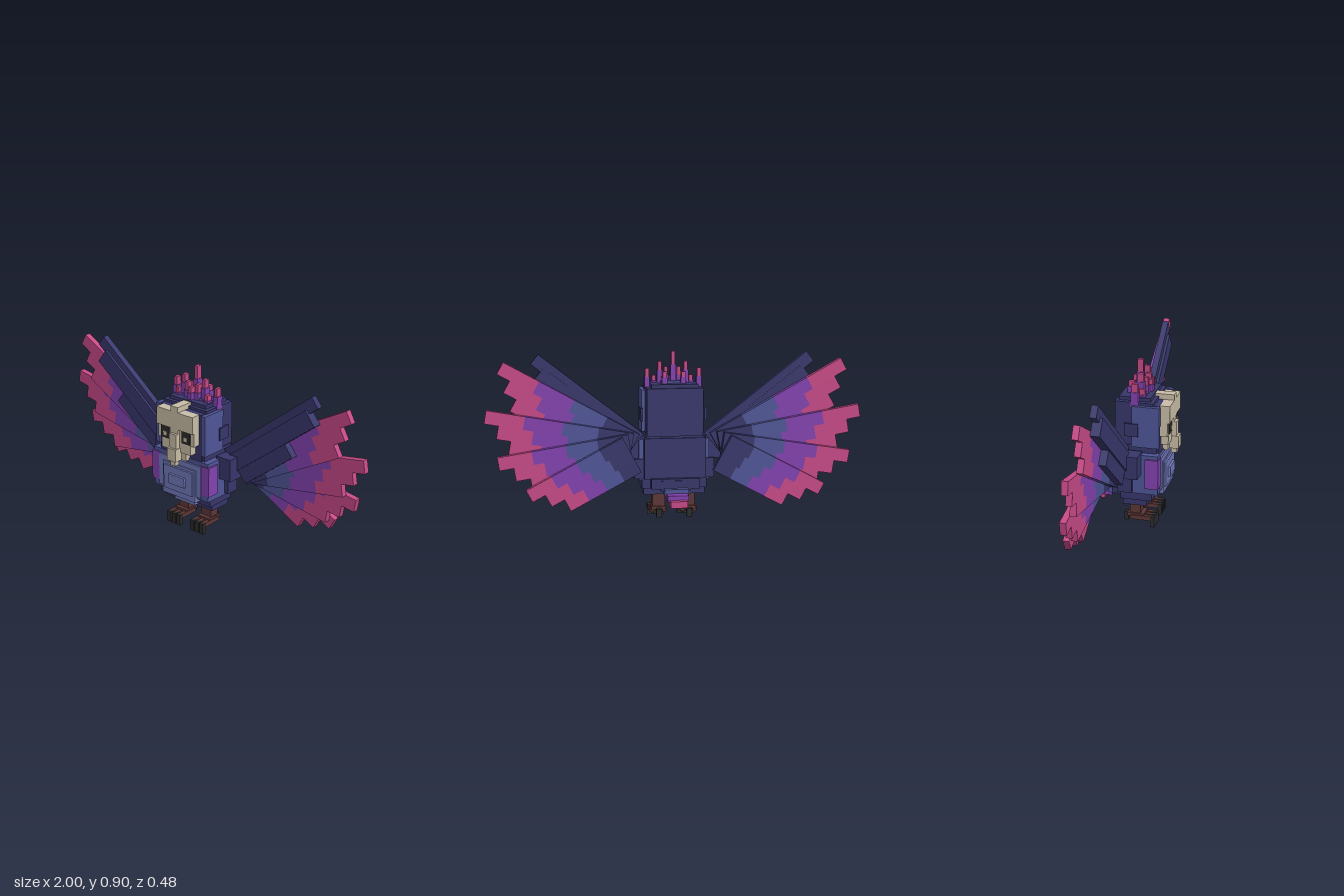
import * as THREE from 'three';

const paint = (name, color) => {
  const m = new THREE.MeshStandardMaterial({ color });
  m.name = name;
  return m;
};

export function createModel() {
  const navy = paint('navy', 0x38376c);
  const blue = paint('slate blue', 0x505698);
  const sky = paint('periwinkle', 0x727abd);
  const purple = paint('purple', 0x8442b0);
  const pink = paint('pink', 0xc84a88);
  const bone = paint('bone', 0xcabfa8);
  const brown = paint('brown', 0x5e3737);
  const black = paint('black', 0x2c2c2c);

  const model = new THREE.Group();
  model.name = 'owl';
  const group = (name) => {
    const g = new THREE.Group();
    g.name = name;
    model.add(g);
    return g;
  };
  // Box from its limits on each axis
  const box = (parent, name, mat, x0, x1, y0, y1, z0, z1) => {
    const m = new THREE.Mesh(new THREE.BoxGeometry(x1 - x0, y1 - y0, z1 - z0), mat);
    m.position.set((x0 + x1) / 2, (y0 + y1) / 2, (z0 + z1) / 2);
    m.name = name;
    parent.add(m);
  };
  // Box centred on x = 0, with half width w
  const mid = (parent, name, mat, w, ...yz) => box(parent, name, mat, -w, w, ...yz);
  // The same box on both sides
  const pair = (parent, name, mat, x0, x1, ...yz) => {
    box(parent, name + 'Left', mat, x0, x1, ...yz);
    box(parent, name + 'Right', mat, -x1, -x0, ...yz);
  };

  // Body
  const body = group('body');
  mid(body, 'belly', blue, 0.19, 0.22, 0.44, -0.03, 0.165);
  mid(body, 'underBelly', navy, 0.165, 0.14, 0.22, -0.03, 0.1);
  mid(body, 'lowerBelly', navy, 0.175, 0.175, 0.25, -0.04, 0.13);
  mid(body, 'hips', navy, 0.215, 0.23, 0.335, -0.045, 0.03);
  mid(body, 'backPlate', navy, 0.165, 0.23, 0.45, -0.075, -0.03);
  mid(body, 'rump', navy, 0.13, 0.18, 0.235, -0.1, -0.03);
  mid(body, 'neck', navy, 0.155, 0.43, 0.48, -0.065, 0.15);
  pair(body, 'chestSide', purple, 0.14, 0.2, 0.255, 0.42, 0.098, 0.17);
  pair(body, 'shoulder', navy, 0.17, 0.265, 0.33, 0.455, -0.02, 0.075);

  // Chest, in raised steps
  const chest = group('chest');
  mid(chest, 'chestBase', sky, 0.147, 0.235, 0.415, 0.12, 0.174);
  mid(chest, 'chestLower', sky, 0.115, 0.2, 0.385, 0.12, 0.18);
  mid(chest, 'chestTip', sky, 0.07, 0.155, 0.2, 0.1, 0.135);
  mid(chest, 'chestMiddle', sky, 0.1, 0.235, 0.37, 0.17, 0.19);
  mid(chest, 'chestCentre', sky, 0.055, 0.275, 0.33, 0.18, 0.203);

  // Head
  const head = group('head');
  mid(head, 'skull', navy, 0.15, 0.46, 0.715, -0.075, 0.13);
  mid(head, 'crown', navy, 0.125, 0.7, 0.735, -0.06, 0.11);
  mid(head, 'faceFrame', navy, 0.14, 0.43, 0.7, 0.1, 0.16);
  pair(head, 'cheek', blue, 0.145, 0.17, 0.475, 0.7, 0.02, 0.167);
  pair(head, 'ear', navy, 0.165, 0.178, 0.535, 0.605, -0.02, 0.055);
  mid(head, 'crownStep', blue, 0.07, 0.7, 0.748, 0, 0.07);

  // Face
  const face = group('face');
  mid(face, 'faceUpper', bone, 0.125, 0.53, 0.7, 0.13, 0.2);
  mid(face, 'faceLower', bone, 0.1, 0.475, 0.53, 0.13, 0.2);
  mid(face, 'chin', bone, 0.06, 0.43, 0.475, 0.13, 0.19);
  mid(face, 'forehead', bone, 0.025, 0.58, 0.73, 0.11, 0.213);
  pair(face, 'brow', bone, 0.025, 0.125, 0.605, 0.7, 0.19, 0.213);
  mid(face, 'beakBridge', bone, 0.025, 0.49, 0.58, 0.19, 0.227);
  mid(face, 'beak', bone, 0.03, 0.43, 0.5, 0.19, 0.239);
  mid(face, 'beakTip', bone, 0.015, 0.4, 0.43, 0.195, 0.227);
  pair(face, 'eye', black, 0.045, 0.1, 0.535, 0.602, 0.199, 0.206);
  pair(face, 'eyeShine', bone, 0.06, 0.082, 0.55, 0.572, 0.205, 0.209);

  // Crest spikes: x, z, base, bottom of the tip, top
  const crest = group('crest');
  const spike = (x, z, y0, y1, y2) => {
    box(crest, 'spike', purple, x - 0.014, x + 0.014, y0, y1, z - 0.02, z + 0.02);
    box(crest, 'spikeTip', pink, x - 0.01, x + 0.01, y1, y2, z - 0.016, z + 0.016);
  };
  spike(0, 0.025, 0.73, 0.835, 0.905);
  spike(0, 0.075, 0.73, 0.77, 0.8);
  for (const s of [-1, 1]) {
    spike(s * 0.07, 0.045, 0.73, 0.805, 0.85);
    spike(s * 0.035, 0.06, 0.73, 0.775, 0.82);
    spike(s * 0.14, 0.03, 0.69, 0.77, 0.815);
    spike(s * 0.1, 0.06, 0.71, 0.745, 0.775);
    spike(s * 0.05, -0.01, 0.73, 0.77, 0.8);
  }

  // Tail, stepping down and back
  const tail = group('tail');
  mid(tail, 'tailBase', navy, 0.08, 0.17, 0.225, -0.105, -0.02);
  mid(tail, 'tailInner', blue, 0.065, 0.15, 0.185, -0.14, -0.085);
  mid(tail, 'tailMiddle', purple, 0.055, 0.13, 0.163, -0.2, -0.12);
  mid(tail, 'tailTip', pink, 0.045, 0.105, 0.14, -0.237, -0.165);

  // Legs and feet
  const legs = group('legs');
  pair(legs, 'leg', brown, 0.047, 0.115, 0.06, 0.145, -0.005, 0.053);
  pair(legs, 'ankle', brown, 0.042, 0.122, 0.052, 0.07, -0.017, 0.076);
  for (const x of [0.036, 0.07, 0.104]) {
    pair(legs, 'toe', brown, x + 0.002, x + 0.024, 0.036, 0.06, 0, 0.113);
    pair(legs, 'claw', black, x, x + 0.026, 0, 0.06, 0.111, 0.134);
  }
  pair(legs, 'backToe', brown, 0.07, 0.094, 0.036, 0.06, -0.02, 0.01);
  pair(legs, 'backClaw', black, 0.068, 0.096, 0.014, 0.06, -0.04, -0.018);

  // Wings: each feather is a fan blade of three planks, shorter toward its lower edge
  const bands = [[navy, 0, 0.24], [blue, 0.24, 0.48], [purple, 0.48, 0.74], [pink, 0.74, 1]];
  const feathers = [[29, 0.81], [10, 0.78], [-9, 0.69], [-28, 0.57]];
  for (const s of [-1, 1]) {
    const wing = group(s > 0 ? 'leftWing' : 'rightWing');
    // Plank along a direction: a is the distance out, b the offset across
    const plank = (name, mat, px, py, deg, a0, a1, b0, b1, z0, z1) => {
      const t = THREE.MathUtils.degToRad(deg), a = (a0 + a1) / 2, b = (b0 + b1) / 2;
      const m = new THREE.Mesh(new THREE.BoxGeometry(a1 - a0, b1 - b0, z1 - z0), mat);
      m.position.set(
        s * (px + a * Math.cos(t) - b * Math.sin(t)),
        py + a * Math.sin(t) + b * Math.cos(t),
        (z0 + z1) / 2);
      m.rotation.z = s * t;
      m.name = name;
      wing.add(m);
    };
    feathers.forEach(([deg, length], i) => {
      const z = -0.031 - i * 0.0335;
      for (let j = 0; j < 3; j++) {
        const l = length - j * 0.075, b = 0.105 - j * 0.07;
        for (const [mat, f0, f1] of bands)
          plank('feather', mat, 0.24, 0.38, deg, l * f0, l * f1, b - 0.07, b, z - 0.0335, z);
      }
    });
    // Arm along the top edge, with a short covert below it
    plank('armUpper', navy, 0.165, 0.47, 38, 0, 0.7, -0.065, 0, -0.03, 0.004);
    plank('armLower', navy, 0.165, 0.47, 38, 0, 0.635, -0.135, -0.04, -0.031, 0.018);
    plank('covert', navy, 0.165, 0.47, 38, 0.02, 0.4, -0.215, -0.135, -0.031, 0.008);
  }
  return model;
}
